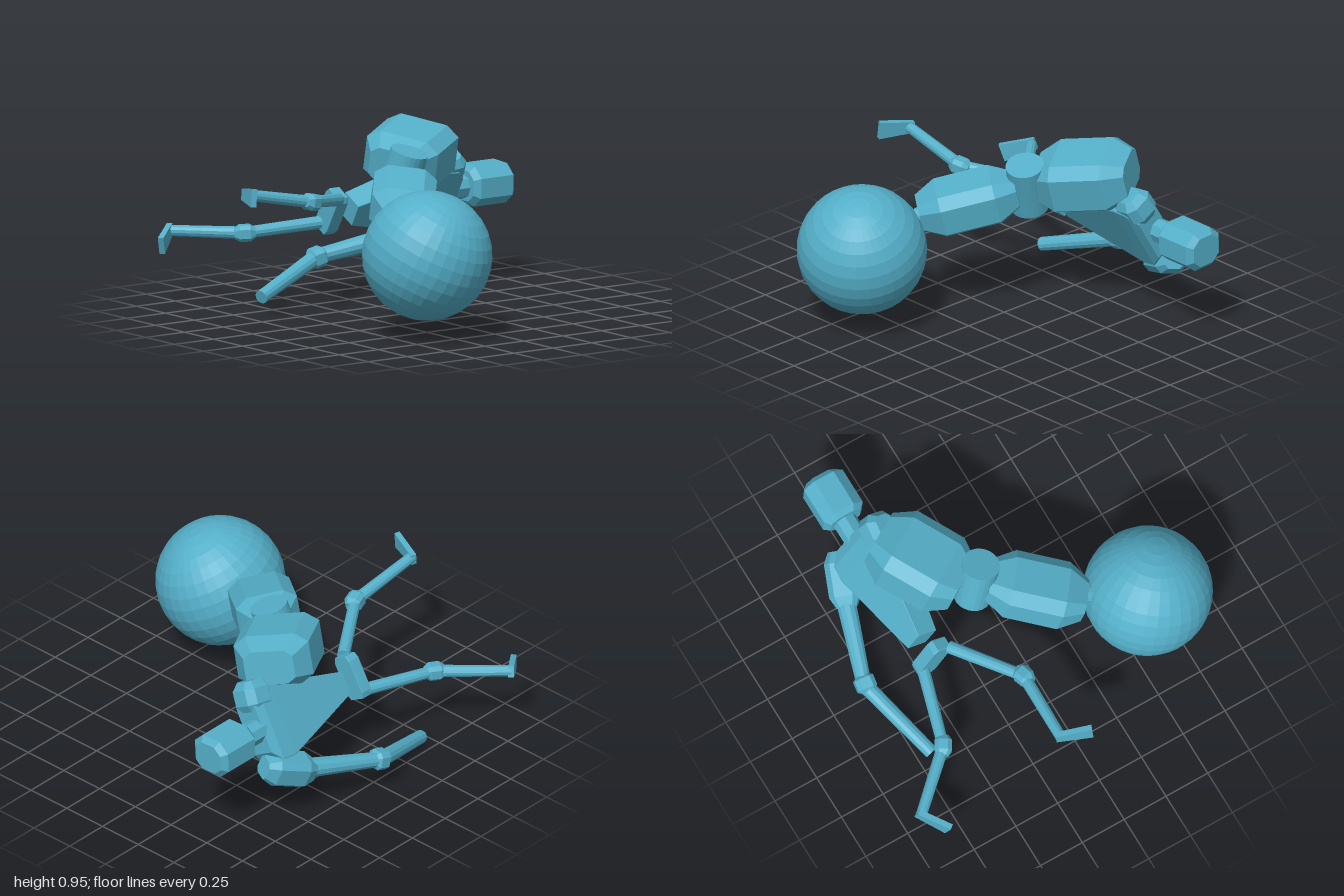
import * as THREE from 'three';

const blue = new THREE.MeshStandardMaterial({ color: 0x54afc9, flatShading: true });
blue.name = 'steel blue';
const V = (p) => new THREE.Vector3(...p);

// Chamfered solid through rings [position 0..1, width, thickness]; k sets the corner cut (1 = square)
function loft(rings, k) {
  const n = rings.length - 1;
  const g = new THREE.CylinderGeometry(1, 1, 1, 8, n, false, Math.PI / 8);
  const p = g.attributes.position;
  const corner = (v) => (Math.abs(v) < 1e-6 ? 0 : Math.sign(v) * (Math.abs(v) < 0.7 ? k : 1));
  for (let i = 0; i < p.count; i++) {
    const [y, w, t] = rings[Math.round((p.getY(i) + 0.5) * n)];
    p.setXYZ(i, (corner(p.getX(i)) * w) / 2, y, (corner(p.getZ(i)) * t) / 2);
  }
  return g;
}

export function createModel() {
  const model = new THREE.Group();
  model.name = 'jointedFigure';

  const add = (name, geometry) => {
    const m = new THREE.Mesh(geometry, blue);
    m.name = name;
    model.add(m);
    return m;
  };

  // Solid running from a to b, its width along the hint direction
  function solid(name, a, b, hint, rings, k = 0.55) {
    const from = V(a);
    const dir = V(b).sub(from);
    const len = dir.length();
    const y = dir.normalize();
    const x = V(hint);
    x.addScaledVector(y, -x.dot(y)).normalize();
    const z = x.clone().cross(y);
    const g = loft(rings.map(([s, w, t]) => [s * len, w, t]), k);
    g.applyMatrix4(new THREE.Matrix4().makeBasis(x, y, z).setPosition(from));
    return add(name, g);
  }

  // Block with both ends bevelled
  const block = (name, a, b, hint, w, t, bevel = 0.2, end = 0.6, k = 0.55) =>
    solid(name, a, b, hint, [[0, w * end, t * end], [bevel, w, t], [1 - bevel, w, t], [1, w * end, t * end]], k);

  // Round limb from a to b
  function rod(name, a, b, r0, r1 = r0, sides = 12) {
    const d = V(b).sub(V(a));
    const g = new THREE.CylinderGeometry(r1, r0, d.length(), sides);
    const m = add(name, g);
    m.position.copy(V(a).add(V(b)).multiplyScalar(0.5));
    m.quaternion.setFromUnitVectors(new THREE.Vector3(0, 1, 0), d.normalize());
    return m;
  }

  const side = [0.5, 0.866, 0]; // body's sideways axis, rolled upward

  // Head and trunk
  block('head', [-0.5, 0.525, -0.73], [-0.5, 0.525, -0.99], [1, -0.05, 0], 0.232, 0.21, 0.11, 0.75, 0.5);
  rod('neck', [-0.505, 0.52, -0.58], [-0.505, 0.52, -0.76], 0.065, 0.065, 8);
  solid('torso', [-0.485, 0.485, 0.02], [-0.49, 0.515, -0.63], side,
    [[0, 0.125, 0.125], [0.79, 0.4, 0.17], [0.92, 0.38, 0.17], [1, 0.26, 0.14]], 0.97);
  block('pelvis', [-0.49, 0.485, 0.16], [-0.49, 0.485, 0.09], side, 0.24, 0.115, 0.1, 0.98, 0.75);

  // Small right arm
  block('rightShoulder', [-0.585, 0.345, -0.66], [-0.685, 0.25, -0.4], [1, 0.3, 0], 0.16, 0.16, 0.2, 0.65, 0.6);
  rod('rightUpperArm', [-0.67, 0.275, -0.45], [-0.81, 0.185, -0.02], 0.053, 0.04);
  block('rightElbow', [-0.8, 0.195, -0.06], [-0.81, 0.17, 0.03], [1, 0, 0], 0.105, 0.1);
  rod('rightForearm', [-0.81, 0.18, -0.01], [-0.675, 0.04, 0.44], 0.042, 0.036);

  // Oversized left arm
  block('leftShoulder', [-0.45, 0.59, -0.57], [-0.37, 0.73, -0.54], [0, 0, 1], 0.17, 0.17, 0.25, 0.65);
  block('leftUpperArm', [-0.455, 0.81, -0.475], [-0.205, 0.73, -0.055], [0.85, -0.19, -0.5],
    0.4, 0.28, 0.22, 0.66, 0.65);
  rod('leftElbow', [-0.155, 0.57, -0.03], [-0.08, 0.835, -0.07], 0.1, 0.1, 24);
  block('leftForearm', [-0.06, 0.695, -0.025], [0.33, 0.575, 0.29], [0.64, -0.15, -0.76],
    0.325, 0.24, 0.22, 0.62, 0.6);
  rod('leftWrist', [0.27, 0.61, 0.23], [0.42, 0.545, 0.28], 0.05);
  const fist = add('leftFistBall', new THREE.SphereGeometry(0.337, 32, 16));
  fist.position.set(0.66, 0.445, 0.368);
  fist.rotation.set(-0.3, 0, -0.35);

  // Legs: hip, knee, ankle, toe and the upright width direction of the foot
  const legs = {
    right: [[-0.55, 0.42, 0.14], [-0.67, 0.39, 0.55], [-0.96, 0.39, 0.82], [-0.865, 0.335, 0.94], [0.15, 1, 0.2]],
    left: [[-0.4, 0.56, 0.15], [-0.16, 0.62, 0.5], [-0.18, 0.7, 0.91], [-0.025, 0.71, 0.97], [0, 1, -0.1]],
  };
  for (const [name, [hip, knee, ankle, toe, up]] of Object.entries(legs)) {
    rod(name + 'Thigh', hip, knee, 0.034, 0.031);
    const along = V(ankle).sub(V(hip)).normalize().multiplyScalar(0.055);
    block(name + 'Knee', V(knee).sub(along).toArray(), V(knee).add(along).toArray(), [1, 0, 0], 0.09, 0.085, 0.25);
    rod(name + 'Shin', knee, ankle, 0.033, 0.029);
    const heel = V(ankle).lerp(V(toe), -0.15).toArray();
    solid(name + 'Foot', heel, toe, up, [[0, 0.06, 0.03], [1, 0.095, 0.03]], 1);
  }
  return model;
}
